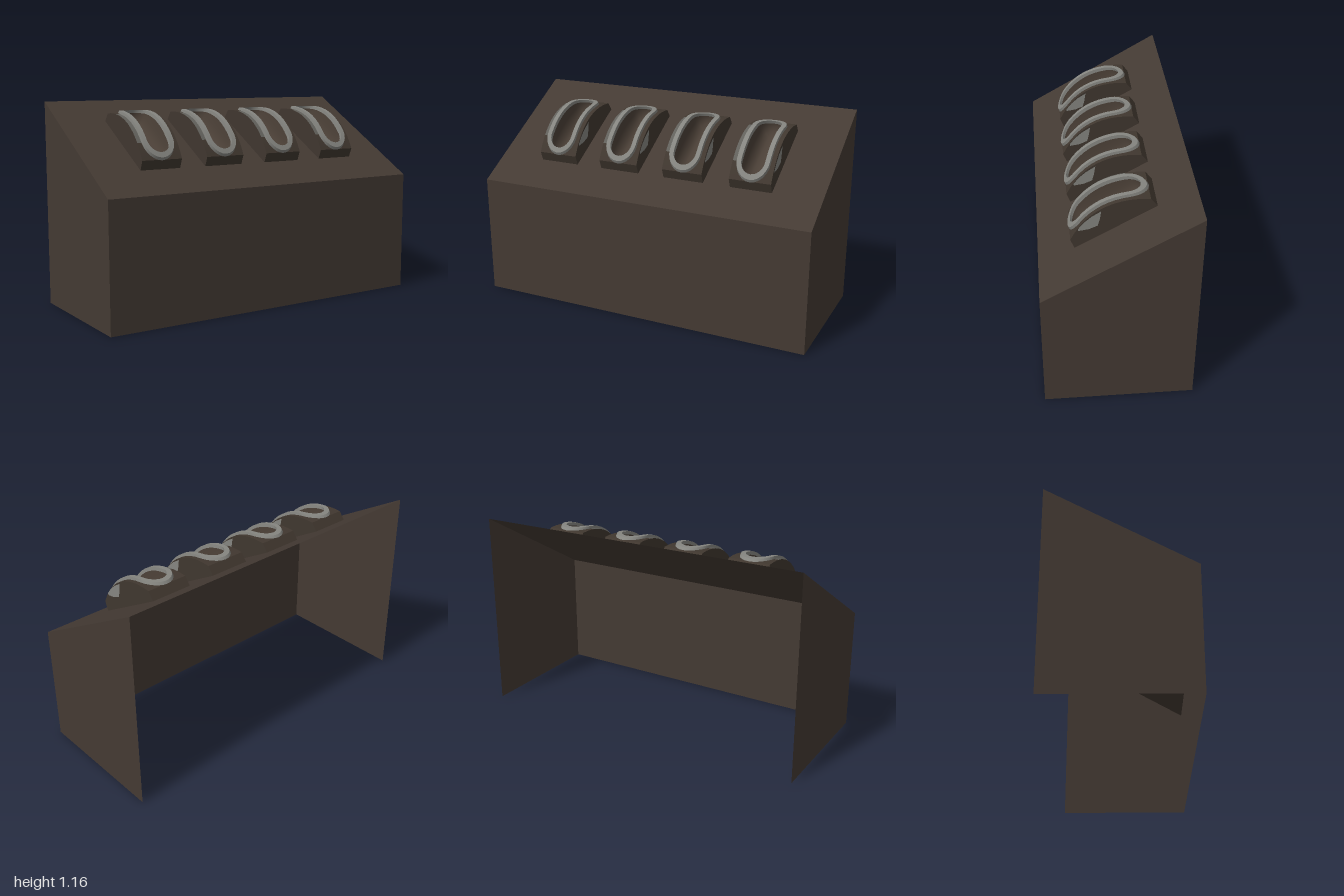
import * as THREE from 'three';
import { toCreasedNormals } from 'three/addons/utils/BufferGeometryUtils.js';

const LOW = 0.7, HIGH = 1.16, DEPTH = 0.8;
const SLOPE = Math.atan((HIGH - LOW) / DEPTH);
const HALF = 0.142;       // half length of the straight part of each slot
const STRAIGHT = 8, ARC = 12;

// Height of the arched rim along the holder (u runs up the slope)
const arch = (u) => 0.154 - 0.081 * (u / 0.233) ** 2;

// Parameters around a slot: end-cap angle plus position along the straight sides
const stations = [];
for (const side of [1, -1]) {
  for (let i = 0; i < STRAIGHT; i++)
    stations.push({ a: side > 0 ? 0 : Math.PI, c: side * HALF * (2 * i / STRAIGHT - 1) });
  for (let i = 0; i < ARC; i++)
    stations.push({ a: (side > 0 ? 0 : Math.PI) + Math.PI * i / ARC, c: side * HALF });
}

// Slot-shaped ring of the given radius
const slotRing = (r, height, stretch = 1) => stations.map(({ a, c }) => {
  const x = r * Math.cos(a), u = c * stretch + r * Math.sin(a);
  return [x, height(u), -u];
});

// Rectangular ring with matching stations
const boxRing = (w, l, height) => stations.map(({ a, c }) => {
  const m = Math.max(Math.abs(Math.cos(a)), Math.abs(Math.sin(a)));
  const u = c + (l - HALF) * Math.sin(a) / m;
  return [w * Math.cos(a) / m, height(u), -u];
});

// Join consecutive rings; keep selects which stations get faces
function loft(rings, crease = 0.6, keep = () => true) {
  const pos = [], n = stations.length;
  for (let k = 0; k + 1 < rings.length; k++)
    for (let j = 0; j < n; j++) {
      if (!keep(j)) continue;
      const a = rings[k][j], b = rings[k][(j + 1) % n];
      const c = rings[k + 1][(j + 1) % n], d = rings[k + 1][j];
      pos.push(...a, ...b, ...c, ...a, ...c, ...d);
    }
  const g = new THREE.BufferGeometry();
  g.setAttribute('position', new THREE.Float32BufferAttribute(pos, 3));
  g.computeVertexNormals();
  return toCreasedNormals(g, crease);
}

export function createModel() {
  const model = new THREE.Group();
  const mat = (name, color, side = THREE.FrontSide) => {
    const m = new THREE.MeshStandardMaterial({ color, side });
    m.name = name;
    return m;
  };
  const cabinetBrown = mat('cabinet brown', 0x443a33, THREE.DoubleSide);
  const holderBrown = mat('holder brown', 0x40372f);
  const cupBrown = mat('cup brown', 0x4a3f36);
  const metal = mat('grey metal', 0x858580);
  const wornMetal = mat('worn metal', 0x62615c, THREE.DoubleSide);

  const add = (parent, name, geometry, material) => {
    const m = new THREE.Mesh(geometry, material);
    m.name = name;
    parent.add(m);
    return m;
  };

  // Cabinet of thin panels, open at the back and underneath
  add(model, 'frontPanel', new THREE.PlaneGeometry(2, LOW), cabinetBrown).position.set(0, LOW / 2, DEPTH / 2);
  const top = add(model, 'slopedTop', new THREE.PlaneGeometry(2, Math.hypot(DEPTH, HIGH - LOW)), cabinetBrown);
  top.rotation.x = SLOPE - Math.PI / 2;
  top.position.y = (LOW + HIGH) / 2;
  const sideShape = new THREE.Shape([[-0.4, 0], [0.4, 0], [0.4, HIGH], [-0.4, LOW]].map(p => new THREE.Vector2(...p)));
  for (const s of [1, -1]) {
    const panel = add(model, s > 0 ? 'leftPanel' : 'rightPanel', new THREE.ShapeGeometry(sideShape), cabinetBrown);
    panel.rotation.y = Math.PI / 2;
    panel.position.x = s;
  }

  // Holder surfaces, from the outside in
  const shoulder = (u) => arch(u) - 0.016;
  const base = boxRing(0.12, 0.242, () => 0);
  const edge = boxRing(0.12, 0.234, shoulder);
  const rimFoot = slotRing(0.095, shoulder);
  const rimOuter = slotRing(0.093, arch);
  const rimInner = slotRing(0.067, arch);
  const isWorn = (j) => j >= STRAIGHT + ARC && j < 2 * STRAIGHT + ARC;
  const walls = loft([base, edge]);
  const shoulders = loft([edge, rimFoot], 0.6, j => !isWorn(j));
  const wornEdge = loft([edge, rimFoot], 0.6, isWorn);
  const rim = loft([rimFoot, rimOuter, rimInner, slotRing(0.065, u => arch(u) - 0.02)], 0.5);
  const cup = loft([
    slotRing(0.065, u => arch(u) - 0.02),
    slotRing(0.06, u => 0.55 * arch(u)),
    slotRing(0.045, () => 0.03, 0.97),
    slotRing(0.022, () => 0.016, 0.94),
    slotRing(0, () => 0.012, 0.9),
  ], 1.2);

  // Worn patch on the holder's left wall
  const patch = new THREE.ShapeGeometry(new THREE.Shape(
    [[-0.17, 0.085], [-0.12, 0.066], [-0.07, 0.06], [-0.045, 0.085], [-0.01, 0.128],
      [-0.07, 0.125], [-0.12, 0.114], [-0.165, 0.096]].map(p => new THREE.Vector2(...p))));

  // Four holders in a row on the slope
  for (let i = 0; i < 4; i++) {
    const holder = new THREE.Group();
    holder.name = 'holder' + (i + 1);
    holder.position.set(-0.6 + 0.4 * i, (LOW + HIGH) / 2, 0);
    holder.rotation.x = SLOPE;
    add(holder, 'holderWalls', walls, holderBrown);
    add(holder, 'holderTop', shoulders, holderBrown);
    add(holder, 'wornEdge', wornEdge, wornMetal);
    add(holder, 'slotRim', rim, metal);
    add(holder, 'slotCup', cup, cupBrown);
    const worn = add(holder, 'wornPatch', patch, metal);
    worn.rotation.y = Math.PI / 2;
    worn.position.x = 0.123;
    model.add(holder);
  }
  return model;
}
